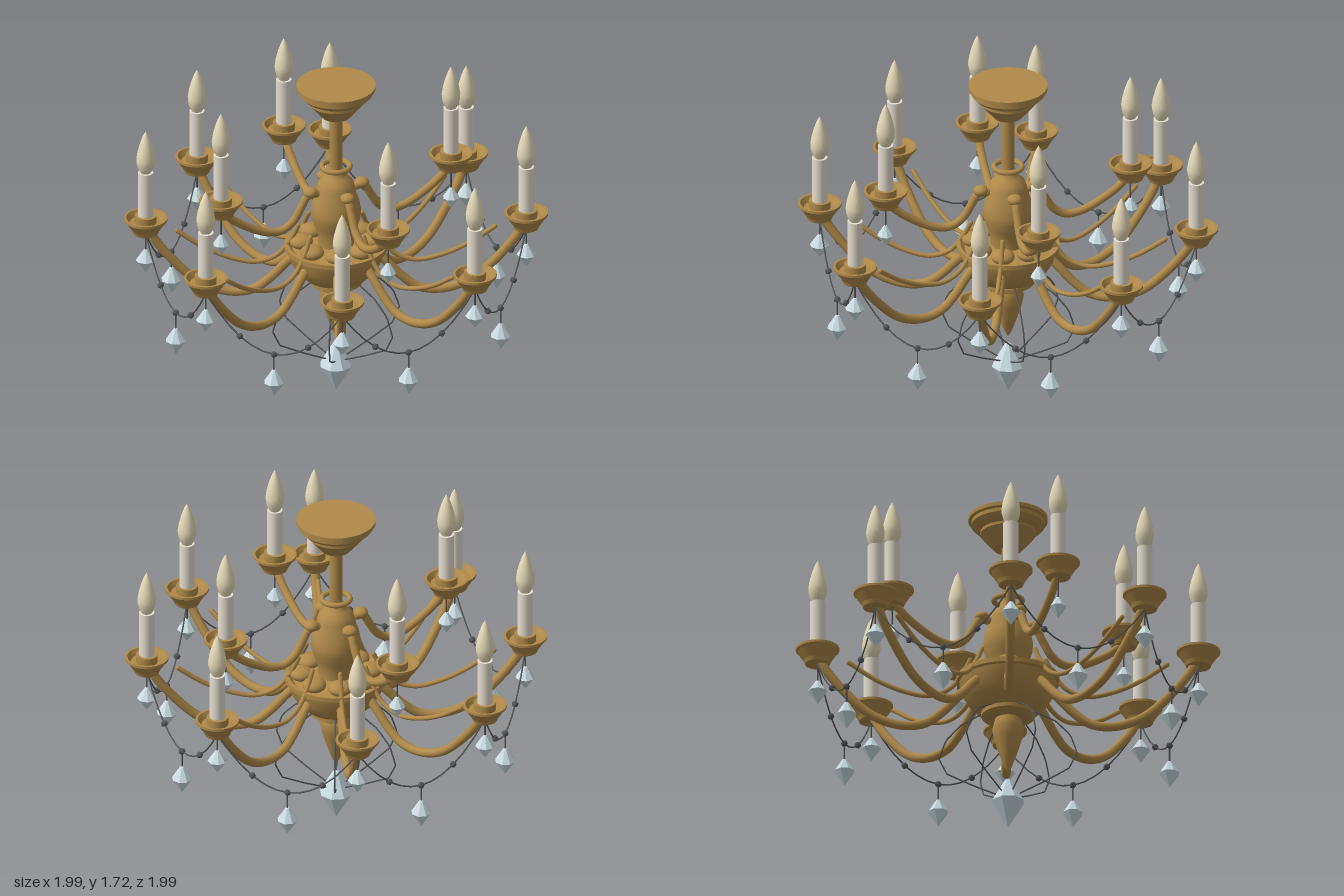
import * as THREE from 'three';

const mat = (color, extra = {}) => new THREE.MeshStandardMaterial({ color, ...extra });
const brass = mat(0xb08a4a);
const wax = mat(0xe6dfd0);
const bulb = mat(0xe6dbb9);
const glass = mat(0xccdfe4, { flatShading: true });
const wire = mat(0x55585a);

const v = (x, y, z = 0) => new THREE.Vector3(x, y, z);

function add(parent, name, geometry, material, x = 0, y = 0, z = 0) {
  const mesh = new THREE.Mesh(geometry, material);
  mesh.name = name;
  mesh.position.set(x, y, z);
  parent.add(mesh);
  return mesh;
}

// Turned part; each profile run gets its own smooth surface, edges between runs stay sharp
function turned(parent, name, runs, material, sides = 32, x = 0, y = 0) {
  const group = new THREE.Group();
  group.name = name;
  group.position.set(x, y, 0);
  for (const run of runs) {
    const pts = run.map(([r, h]) => new THREE.Vector2(r, h));
    add(group, name + 'Surface', new THREE.LatheGeometry(pts, sides), material);
  }
  parent.add(group);
  return group;
}

// Split a profile into one sharp-edged run per segment
const facets = (p) => p.slice(1).map((q, i) => [p[i], q]);

// Round tube through [radius, height] points in the xy plane
function arm(parent, name, pts, radius) {
  const curve = new THREE.CatmullRomCurve3(pts.map(([x, y]) => v(x, y)), false, 'centripetal');
  add(parent, name, new THREE.TubeGeometry(curve, 40, radius, 10), brass);
  for (const [x, y] of [pts[0], pts[pts.length - 1]])
    add(parent, name + 'End', new THREE.SphereGeometry(radius, 10, 8), brass, x, y);
}

// Straight-segment wire
function strand(parent, name, pts, radius = 0.004) {
  const path = new THREE.CurvePath();
  for (let i = 1; i < pts.length; i++) path.add(new THREE.LineCurve3(pts[i - 1], pts[i]));
  add(parent, name, new THREE.TubeGeometry(path, (pts.length - 1) * 4, radius, 6), wire);
}

// Faceted pendant, its top at the given height
function crystal(parent, name, x, top, z, height, radius) {
  const profile = [[0, -1], [1, -0.47], [0.2, -0.03], [0, 0]];
  const pts = profile.map(([r, h]) => new THREE.Vector2(r * radius, h * height));
  add(parent, name, new THREE.LatheGeometry(pts, 8), glass, x, top, z);
}

// Drip cup, candle and flame bulb; y is the underside of the cup
function candle(parent, x, y) {
  turned(parent, 'dripCup', facets([[0, 0], [0.062, 0], [0.07, 0.02], [0.1, 0.065], [0.11, 0.075],
    [0.11, 0.088], [0.098, 0.088], [0.08, 0.06], [0.055, 0.06], [0.055, 0.1], [0, 0.1]]), brass, 32, x, y);
  turned(parent, 'candle', facets([[0.039, 0.09], [0.039, 0.342], [0, 0.342]]), wax, 24, x, y);
  turned(parent, 'flame', [[[0.025, 0.34], [0.038, 0.365], [0.046, 0.395], [0.047, 0.42], [0.041, 0.46],
    [0.029, 0.505], [0.015, 0.545], [0, 0.573]]], bulb, 20, x, y);
}

export function createModel() {
  const model = new THREE.Group();
  model.name = 'chandelier';

  // Ceiling canopy and stem
  turned(model, 'canopy', facets([[0, 1.545], [0.072, 1.545], [0.085, 1.56], [0.14, 1.625], [0.14, 1.64],
    [0.165, 1.655], [0.185, 1.675], [0.185, 1.695], [0.2, 1.7], [0.2, 1.72], [0, 1.72]]), brass, 40);
  add(model, 'stem', new THREE.CylinderGeometry(0.034, 0.034, 0.37, 20), brass, 0, 1.37);
  const ring = add(model, 'stemRing', new THREE.TorusGeometry(0.071, 0.014, 10, 32), brass, 0, 1.26);
  ring.rotation.x = Math.PI / 2;

  // Vase body, bowl and lower finial
  turned(model, 'body', [
    [[0.09, 0.83], [0.09, 0.88], [0.108, 0.93], [0.124, 0.98], [0.126, 1.02], [0.117, 1.07], [0.103, 1.11],
      [0.095, 1.15], [0.085, 1.18], [0.06, 1.205], [0.045, 1.22], [0.036, 1.25]],
  ], brass, 40);
  turned(model, 'bowl', [
    [[0.12, 0.63], [0.16, 0.65], [0.2, 0.69], [0.23, 0.74], [0.245, 0.8]],
    ...facets([[0.245, 0.8], [0.26, 0.805], [0.26, 0.83], [0.24, 0.83], [0.22, 0.81], [0.08, 0.83]]),
  ], brass, 40);
  turned(model, 'finial', [
    [[0, 0.305], [0.02, 0.34], [0.045, 0.41], [0.07, 0.49], [0.08, 0.54], [0.072, 0.575], [0.065, 0.6]],
    ...facets([[0.065, 0.6], [0.12, 0.605], [0.135, 0.615], [0.135, 0.635], [0.12, 0.64]]),
  ], brass, 32);

  // Eight lower arms with thin scrolls, bosses and pendants
  const R = 0.958;
  for (let i = 0; i < 8; i++) {
    const g = new THREE.Group();
    g.name = 'lowerArm';
    g.rotation.y = (i + 0.5) * Math.PI / 4;
    arm(g, 'armTube', [[0.2, 0.77], [0.25, 0.725], [0.33, 0.64], [0.41, 0.58], [0.5, 0.563], [0.6, 0.58],
      [0.7, 0.63], [0.82, 0.745], [0.91, 0.86], [0.94, 0.915]], 0.023);
    arm(g, 'scroll', [[0.19, 0.93], [0.23, 0.85], [0.3, 0.765], [0.4, 0.73], [0.53, 0.755], [0.67, 0.82],
      [0.8, 0.91]], 0.012);
    const boss = add(g, 'boss', new THREE.SphereGeometry(0.06, 18, 12), brass, 0.175, 0.84);
    boss.scale.y = 0.6;
    candle(g, R, 0.9);
    strand(g, 'pendantWire', [v(R, 0.9), v(R, 0.8)]);
    crystal(g, 'pendant', R, 0.81, 0, 0.13, 0.05);
    model.add(g);
  }

  // Four upper arms
  for (let i = 0; i < 4; i++) {
    const g = new THREE.Group();
    g.name = 'upperArm';
    g.rotation.y = i * Math.PI / 2;
    arm(g, 'armTube', [[0.11, 1.13], [0.155, 1.125], [0.19, 1.07], [0.235, 1.0], [0.3, 0.96], [0.38, 0.968],
      [0.47, 1.01], [0.56, 1.07], [0.62, 1.125]], 0.021);
    const knob = add(g, 'knob', new THREE.SphereGeometry(0.038, 16, 12), brass, 0.142, 1.143);
    knob.scale.y = 0.7;
    candle(g, 0.635, 1.117);
    strand(g, 'pendantWire', [v(0.635, 1.12), v(0.635, 1)]);
    crystal(g, 'pendant', 0.635, 1.01, 0, 0.12, 0.042);
    model.add(g);
  }

  // Beaded garlands between neighbouring lower cups
  const half = R * Math.sin(Math.PI / 8), out = R * Math.cos(Math.PI / 8);
  for (let i = 0; i < 8; i++) {
    const g = new THREE.Group();
    g.name = 'garland';
    g.rotation.y = i * Math.PI / 4;
    const sag = (t) => v(out, 0.9 - 0.28 * (1 - t * t), t * half);
    const pts = [];
    for (let k = -6; k <= 6; k++) pts.push(sag(k / 6));
    strand(g, 'garlandWire', pts);
    for (const t of [-0.5, 0, 0.5]) {
      const p = sag(t);
      add(g, 'bead', new THREE.OctahedronGeometry(0.018, 1), wire, p.x, p.y, p.z);
    }
    strand(g, 'garlandDrop', [v(out, 0.62), v(out, 0.52)]);
    crystal(g, 'garlandPendant', out, 0.535, 0, 0.15, 0.052);
    model.add(g);
  }

  // Wire basket holding the large bottom crystal
  for (let i = 0; i < 6; i++) {
    const g = new THREE.Group();
    g.name = 'basketWire';
    g.rotation.y = i * Math.PI / 3;
    strand(g, 'basketStrand', [v(0.13, 0.64), v(0.24, 0.58), v(0.315, 0.5), v(0.35, 0.4), v(0.31, 0.315),
      v(0.18, 0.245), v(0.03, 0.175)]);
    model.add(g);
  }
  crystal(model, 'bottomCrystal', 0, 0.27, 0, 0.27, 0.084);

  return model;
}
